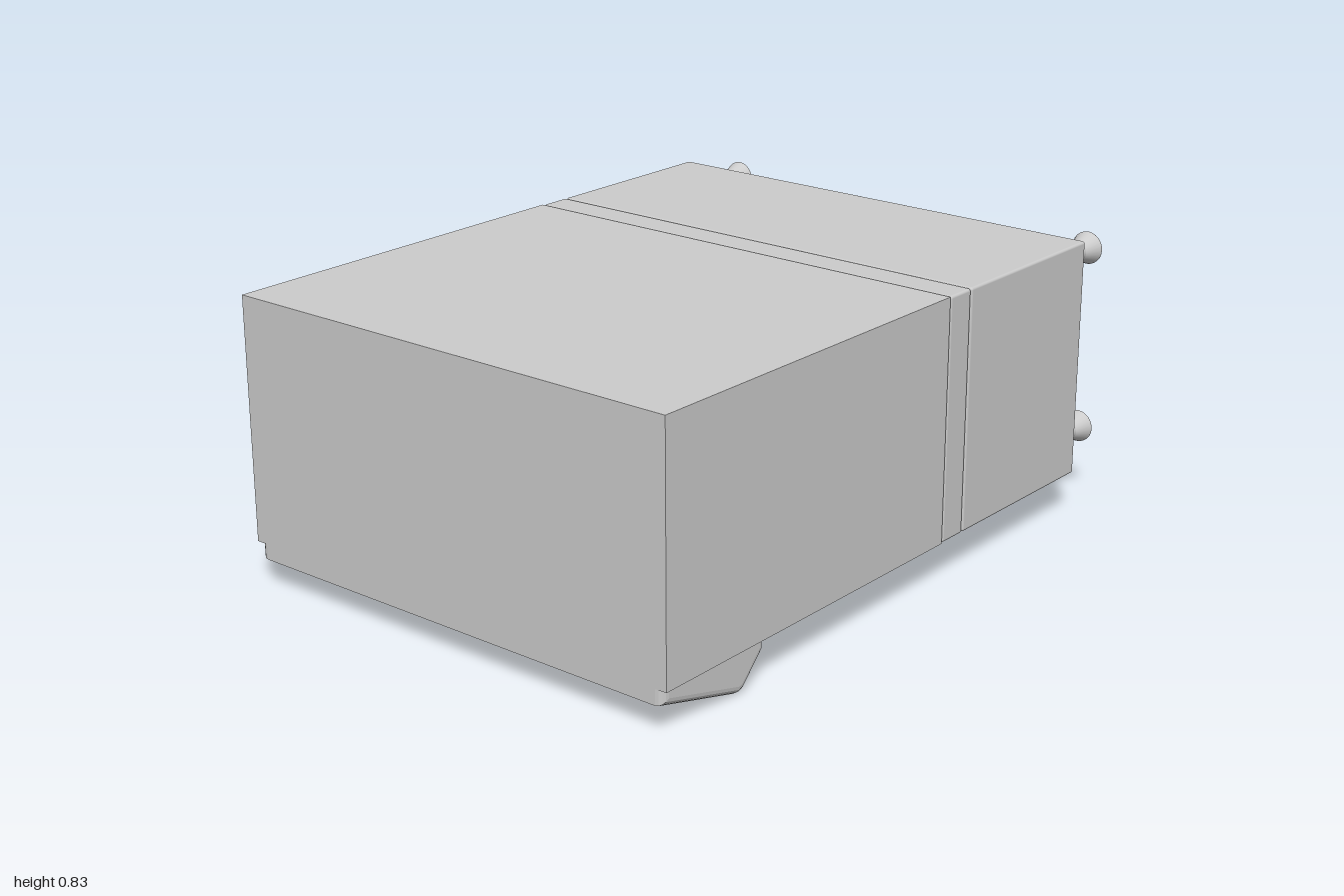
import * as THREE from 'three';
import { RoundedBoxGeometry } from 'three/addons/geometries/RoundedBoxGeometry.js';

const HALF = 0.727; // half width of the cabinet
const FACE = 0.127; // height of the downward working face
const TOP = 0.83;

export function createModel() {
  const root = new THREE.Group();
  root.name = 'cabinetOnItsFace';
  const mat = new THREE.MeshStandardMaterial({ color: 0xcccccc });

  const add = (name, geo, x = 0, y = 0, z = 0, parent = root) => {
    const mesh = new THREE.Mesh(geo, mat);
    mesh.name = name;
    mesh.position.set(x, y, z);
    parent.add(mesh);
    return mesh;
  };

  // Box given by its limits, with slightly eased edges when r > 0
  const block = (name, x0, x1, y0, y1, z0, z1, r = 0, parent = root) => {
    const size = [x1 - x0, y1 - y0, z1 - z0];
    const geo = r ? new RoundedBoxGeometry(...size, 2, r) : new THREE.BoxGeometry(...size);
    return add(name, geo, (x0 + x1) / 2, (y0 + y1) / 2, (z0 + z1) / 2, parent);
  };

  // Horizontal slab from y0 to y1 with a rectangular opening
  const rect = (P, x0, x1, z0, z1) => new P([
    new THREE.Vector2(x0, z0), new THREE.Vector2(x1, z0),
    new THREE.Vector2(x1, z1), new THREE.Vector2(x0, z1)]);
  const frame = (name, outer, hole, y0, y1) => {
    const shape = rect(THREE.Shape, ...outer);
    shape.holes.push(rect(THREE.Path, ...hole));
    const geo = new THREE.ExtrudeGeometry(shape, { depth: y1 - y0, bevelEnabled: false });
    geo.rotateX(Math.PI / 2);
    add(name, geo, 0, y1, 0);
  };

  // Upper cabinet with a recessed work bay and a deeper pocket at one side
  const outline = [-HALF, HALF, -0.165, 1.0];
  frame('bayFrame', outline, [-0.68, 0.68, -0.13, 0.57], FACE, 0.19);
  frame('bayFloor', outline, [-0.65, -0.3, -0.11, 0.5], 0.19, 0.23);
  block('upperCabinet', -HALF, HALF, 0.23, TOP, -0.165, 1.0);

  // Control band and lower cabinet
  block('controlBand', -HALF, HALF, FACE, TOP, -0.265, -0.169, 0.008);
  block('lowerCabinet', -HALF, HALF, FACE, TOP, -0.85, -0.267, 0.008);

  // Sloped hood with rounded ends
  const hood = new THREE.Shape();
  hood.moveTo(-1.0, 0.16);
  hood.lineTo(-1.0, 0.082);
  hood.lineTo(-0.72, 0.006);
  hood.quadraticCurveTo(-0.695, -0.003, -0.675, 0.014);
  hood.lineTo(-0.6, 0.092);
  hood.lineTo(-0.6, 0.16);
  hood.closePath();
  const hoodGeo = new THREE.ExtrudeGeometry(hood, {
    depth: 1.382, bevelThickness: 0.024, bevelSize: 0.024, bevelOffset: -0.024,
    bevelSegments: 4, curveSegments: 6,
  });
  hoodGeo.rotateY(Math.PI / 2);
  add('hood', hoodGeo, -0.691, 0, 0);

  // Control knobs
  for (const x of [-0.5, -0.61]) {
    add('knob', new THREE.CylinderGeometry(0.03, 0.03, 0.02, 24), x, 0.125, -0.217);
  }

  // Doors, each with a bracket handle and two hinges
  for (const [x0, x1, hx] of [[-0.155, 0.67, 0.375], [-0.66, -0.21, -0.275]]) {
    const door = new THREE.Group();
    door.name = 'door';
    root.add(door);
    block('doorPanel', x0, x1, 0.106, 0.135, -0.785, -0.342, 0.004, door);
    block('handleGrip', hx - 0.012, hx + 0.012, 0.058, 0.078, -0.635, -0.495, 0, door);
    for (const z of [-0.635, -0.515]) {
      block('handlePost', hx - 0.012, hx + 0.012, 0.078, 0.11, z, z + 0.02, 0, door);
    }
    for (const z of [-0.74, -0.46]) {
      block('hinge', x0 - 0.008, x0 + 0.012, 0.101, 0.13, z, z + 0.08, 0, door);
    }
  }

  // Levelling feet pointing backwards
  const footProfile = [[0, 0], [0.015, 0], [0.015, 0.06], [0.027, 0.06], [0.027, 0.106],
    [0.034, 0.122], [0.048, 0.156], [0.048, 0.16], [0, 0.16]];
  const points = [];
  // Doubled points keep the steps of the profile crisp
  footProfile.forEach(([r, h], i) => {
    points.push(new THREE.Vector2(r, h));
    if (i > 0 && i < footProfile.length - 1) points.push(new THREE.Vector2(r, h + 1e-5));
  });
  const footGeo = new THREE.LatheGeometry(points, 24);
  footGeo.rotateX(-Math.PI / 2);
  for (const x of [-0.638, 0.648]) {
    for (const y of [0.213, 0.763]) add('foot', footGeo, x, y, -0.84);
  }

  return root;
}
